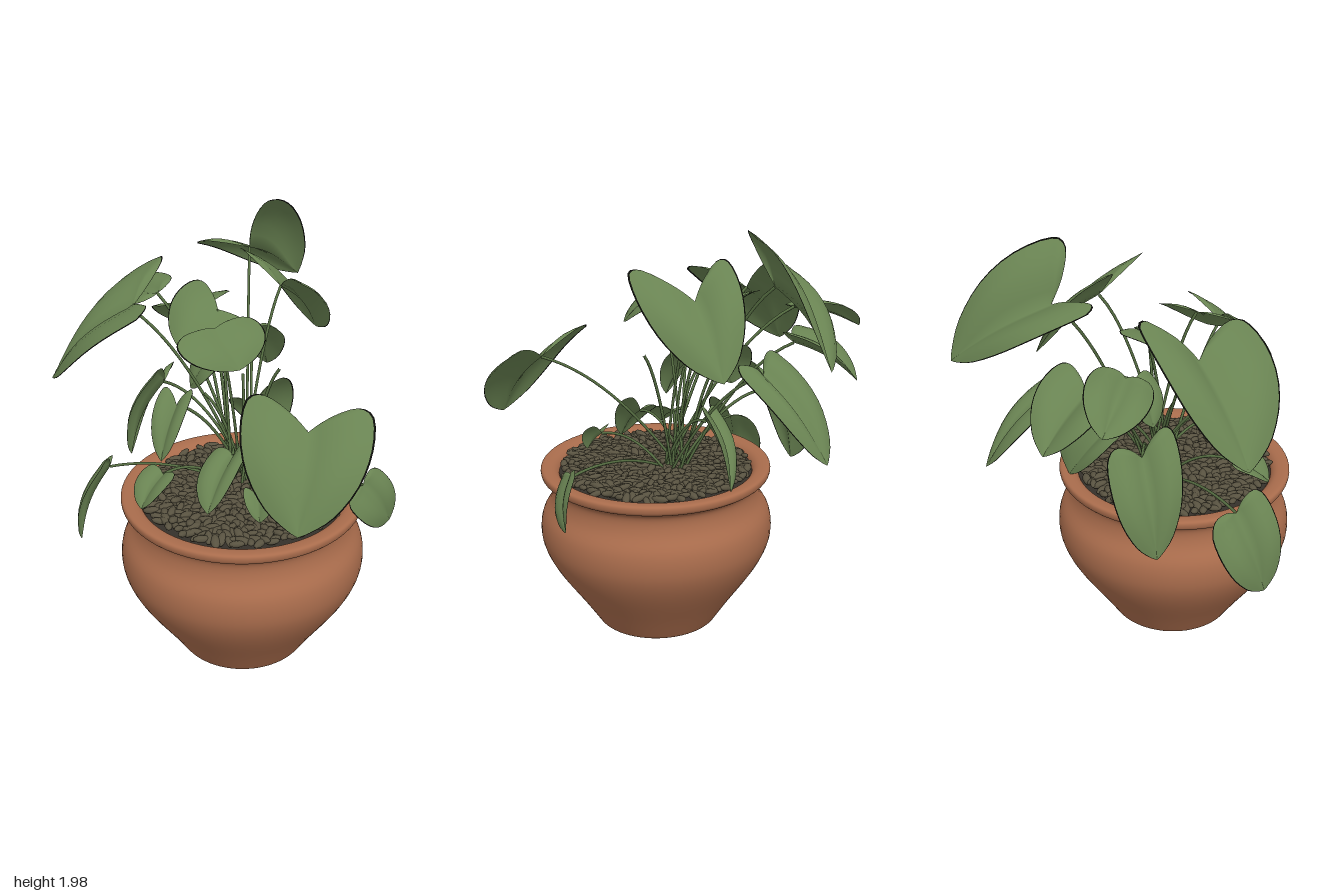
import * as THREE from 'three';
import { mergeGeometries } from 'three/addons/utils/BufferGeometryUtils.js';

const V = (a) => new THREE.Vector3(...a);

function material(name, color, side = THREE.FrontSide) {
  const m = new THREE.MeshStandardMaterial({ color, side });
  m.name = name;
  return m;
}

function addMesh(parent, name, geometry, mat) {
  const mesh = new THREE.Mesh(geometry, mat);
  mesh.name = name;
  parent.add(mesh);
  return mesh;
}

function seeded(seed) {
  return () => {
    seed = (seed * 16807) % 2147483647;
    return seed / 2147483647;
  };
}

// Half outline of a broad heart-shaped leaf: x = reach toward the lobe, y = reach toward the tip
const outline = new THREE.SplineCurve([
  [0, 0], [0.32, -0.1], [0.74, -0.13], [1, 0], [1.03, 0.3],
  [0.87, 0.6], [0.54, 0.84], [0.19, 0.96], [0, 1],
].map((p) => new THREE.Vector2(...p)));

// Steps across a leaf; the outermost strips are the dark rim
const STEPS = [-1, -0.97, -0.78, -0.58, -0.38, -0.19, 0, 0.19, 0.38, 0.58, 0.78, 0.97, 1];

// Blade spanned by the stalk joint, the tip and the two lobes
function leafGeometry(base, tip, lobeA, lobeB) {
  const axis = tip.clone().sub(base);
  const sides = [lobeA.clone().sub(base), lobeB.clone().sub(base)];
  const sweep = sides.map((side) => side.dot(axis) / axis.lengthSq());
  const up = sides[0].clone().sub(sides[1]).cross(axis).normalize();
  if (up.y < 0) up.negate();
  const size = axis.length();
  const rows = 24, cols = STEPS.length;
  const pos = [], blade = [], rim = [];
  for (let i = 0; i <= rows; i++) {
    const t = i / rows;
    const edge = outline.getPoint(t);
    const rib = Math.max(0, (t - 0.3) / 0.7);
    for (const step of STEPS) {
      const k = Math.abs(step), half = step < 0 ? 0 : 1;
      const s = edge.x * k;
      let v = rib + (edge.y - rib) * k;
      v -= 0.6 * s * sweep[half] * Math.max(0, v); // keeps the tip end broad
      const lift = size * (0.07 * Math.sin(Math.PI * k) * edge.x
        + 0.07 * Math.sin(Math.PI * Math.max(0, v)));
      const p = base.clone().addScaledVector(axis, v)
        .addScaledVector(sides[half], s).addScaledVector(up, lift);
      pos.push(p.x, p.y, p.z);
    }
  }
  for (let i = 0; i < rows; i++) {
    for (let j = 0; j < cols - 1; j++) {
      const a = i * cols + j, b = a + cols;
      const list = j === 0 || j === cols - 2 ? rim : blade;
      list.push(a, b, a + 1, a + 1, b, b + 1);
    }
  }
  const g = new THREE.BufferGeometry();
  g.setAttribute('position', new THREE.Float32BufferAttribute(pos, 3));
  g.setIndex([...blade, ...rim]);
  g.addGroup(0, blade.length, 0);
  g.addGroup(blade.length, rim.length, 1);
  g.computeVertexNormals();
  return g;
}

// Stalk arching from the crown to the leaf joint
function stalkGeometry(root, end) {
  const middle = root.clone().lerp(end, 0.5);
  const bend = middle.clone().setY(end.y * 0.9 + 0.14);
  if (end.y > 1.2) bend.lerp(middle, 0.35);
  return new THREE.TubeGeometry(new THREE.QuadraticBezierCurve3(root, bend, end), 16, 0.007, 6);
}

// Each leaf: stalk joint, tip, first lobe, second lobe
const LEAVES = {
  leftFrontLeaf: [[-0.43, 1.58, 0.27], [-0.76, 1.24, 0.45], [-0.45, 1.74, 0.02], [-0.23, 1.65, 0.5]],
  rightFrontLeaf: [[0.57, 1.33, 0.47], [0.67, 1.01, 0.73], [0.31, 1.43, 0.52], [0.79, 1.39, 0.33]],
  topBackLeaf: [[-0.18, 1.73, -0.33], [-0.16, 1.47, -0.77], [-0.05, 1.98, -0.32], [-0.37, 1.76, -0.18]],
  rightBackLeaf: [[0.1, 1.66, -0.13], [0.13, 1.37, -0.42], [-0.09, 1.81, -0.1], [0.32, 1.77, 0.07]],
  leftBackLeaf: [[-0.39, 1.42, -0.19], [-0.62, 1.25, -0.37], [-0.53, 1.45, -0.08], [-0.28, 1.5, -0.31]],
  lowBackLeaf: [[-0.15, 1.33, -0.3], [-0.26, 1.0, -0.64], [-0.29, 1.38, -0.24], [-0.02, 1.35, -0.32]],
  centreLeaf: [[-0.11, 1.57, 0.06], [-0.18, 1.46, 0.28], [-0.3, 1.64, -0.04], [0.13, 1.47, 0.05]],
  upperFrontLeaf: [[0.03, 1.6, 0.3], [0.19, 1.47, 0.37], [0.13, 1.6, 0.14], [-0.04, 1.57, 0.49]],
  farLeftLeaf: [[-0.5, 1.54, -0.03], [-0.81, 1.43, -0.13], [-0.58, 1.5, 0.08], [-0.53, 1.58, -0.17]],
  hangingLeftLeaf: [[-0.46, 0.86, 0.45], [-0.55, 0.51, 0.58], [-0.56, 0.79, 0.34], [-0.41, 0.92, 0.58]],
  lowLeftLeaf: [[-0.43, 1.13, 0.04], [-0.6, 0.72, 0.1], [-0.39, 1.22, 0.18], [-0.49, 1.13, -0.11]],
  hangingRightLeaf: [[0.63, 0.89, 0.05], [0.72, 0.68, -0.06], [0.63, 0.83, 0.17], [0.66, 0.93, -0.05]],
  frontLeaf: [[0.13, 1.03, 0.33], [0.13, 0.84, 0.54], [0.03, 1.02, 0.36], [0.22, 1.12, 0.29]],
  smallRightLeaf: [[0.3, 0.92, 0.41], [0.35, 0.83, 0.47], [0.25, 0.95, 0.44], [0.37, 0.97, 0.39]],
  smallFrontLeaf: [[-0.14, 0.93, 0.48], [-0.15, 0.83, 0.64], [-0.23, 0.94, 0.48], [-0.05, 0.96, 0.53]],
  innerFrontLeaf: [[-0.14, 1.22, 0.36], [-0.12, 1.02, 0.52], [-0.22, 1.27, 0.36], [-0.06, 1.29, 0.35]],
  innerBackLeaf: [[0.0, 1.07, -0.07], [0.0, 0.8, -0.28], [0.1, 1.18, -0.2], [-0.1, 1.09, -0.01]],
  innerLeftLeaf: [[-0.14, 1.35, 0.02], [-0.24, 1.17, 0.1], [-0.06, 1.34, 0.1], [-0.23, 1.39, -0.06]],
};

export function createModel() {
  const model = new THREE.Group();
  model.name = 'pottedPlant';
  const terracotta = material('terracotta', 0xa96c4c);
  const soilBrown = material('soil', 0x35312a);
  const stone = material('pebble brown', 0x595341);
  const leafGreen = material('leaf green', 0x698352, THREE.DoubleSide);
  const rimBlack = material('leaf rim black', 0x0c0d09, THREE.DoubleSide);
  const stalkGreen = material('stalk green', 0x566e42);
  const rand = seeded(71);

  // Pot, soil and pebbles share an off-centre axis
  const planter = new THREE.Group();
  planter.name = 'planter';
  planter.position.set(0.11, 0, 0.22);
  model.add(planter);

  const wall = new THREE.SplineCurve([
    [0.3, 0.004], [0.375, 0.12], [0.49, 0.29], [0.545, 0.4], [0.56, 0.485], [0.547, 0.565],
    [0.505, 0.635], [0.489, 0.69], [0.498, 0.73], [0.54, 0.757], [0.55, 0.775], [0.548, 0.795],
    [0.53, 0.802], [0.49, 0.797], [0.465, 0.775], [0.46, 0.74],
  ].map((p) => new THREE.Vector2(...p)));
  const profile = [new THREE.Vector2(0, 0), new THREE.Vector2(0.296, 0), ...wall.getPoints(60)];
  addMesh(planter, 'pot', new THREE.LatheGeometry(profile, 64), terracotta);
  addMesh(planter, 'soil', new THREE.CircleGeometry(0.47, 48).rotateX(-Math.PI / 2).translate(0, 0.768, 0), soilBrown);

  // Pebbles spread evenly in a sunflower pattern
  const pebbles = [];
  const count = 560;
  for (let i = 0; i < count; i++) {
    const r = 0.445 * Math.sqrt((i + 0.5) / count);
    const a = i * 2.39996;
    const k = 0.85 + rand() * 0.35;
    const g = new THREE.SphereGeometry(1, 8, 6).rotateZ(Math.PI / 2);
    g.scale(0.035 * k, 0.014 * k, 0.018 * k);
    g.rotateZ((rand() - 0.5) * 0.7).rotateY(rand() * Math.PI * 2);
    g.translate(r * Math.cos(a), 0.782 + rand() * 0.014, r * Math.sin(a));
    pebbles.push(g);
  }
  addMesh(planter, 'pebbles', mergeGeometries(pebbles), stone);

  // Leaves, each with its own stalk from the crown
  Object.entries(LEAVES).forEach(([name, points], i) => {
    const [base, tip, lobeA, lobeB] = points.map(V);
    const leaf = new THREE.Group();
    leaf.name = name;
    model.add(leaf);
    const a = i * 2.4;
    const root = new THREE.Vector3(0.05 + 0.05 * Math.cos(a), 0.77, 0.14 + 0.05 * Math.sin(a));
    addMesh(leaf, 'blade', leafGeometry(base, tip, lobeA, lobeB), [leafGreen, rimBlack]);
    addMesh(leaf, 'stalk', stalkGeometry(root, base), stalkGreen);
  });

  // Bare young shoots
  [[0.23, 1.38, 0.1], [0.03, 1.3, 0.08], [-0.1, 1.22, 0.2]].forEach((end) => {
    addMesh(model, 'shoot', stalkGeometry(V([0.07, 0.77, 0.13]), V(end)), stalkGreen);
  });

  return model;
}
